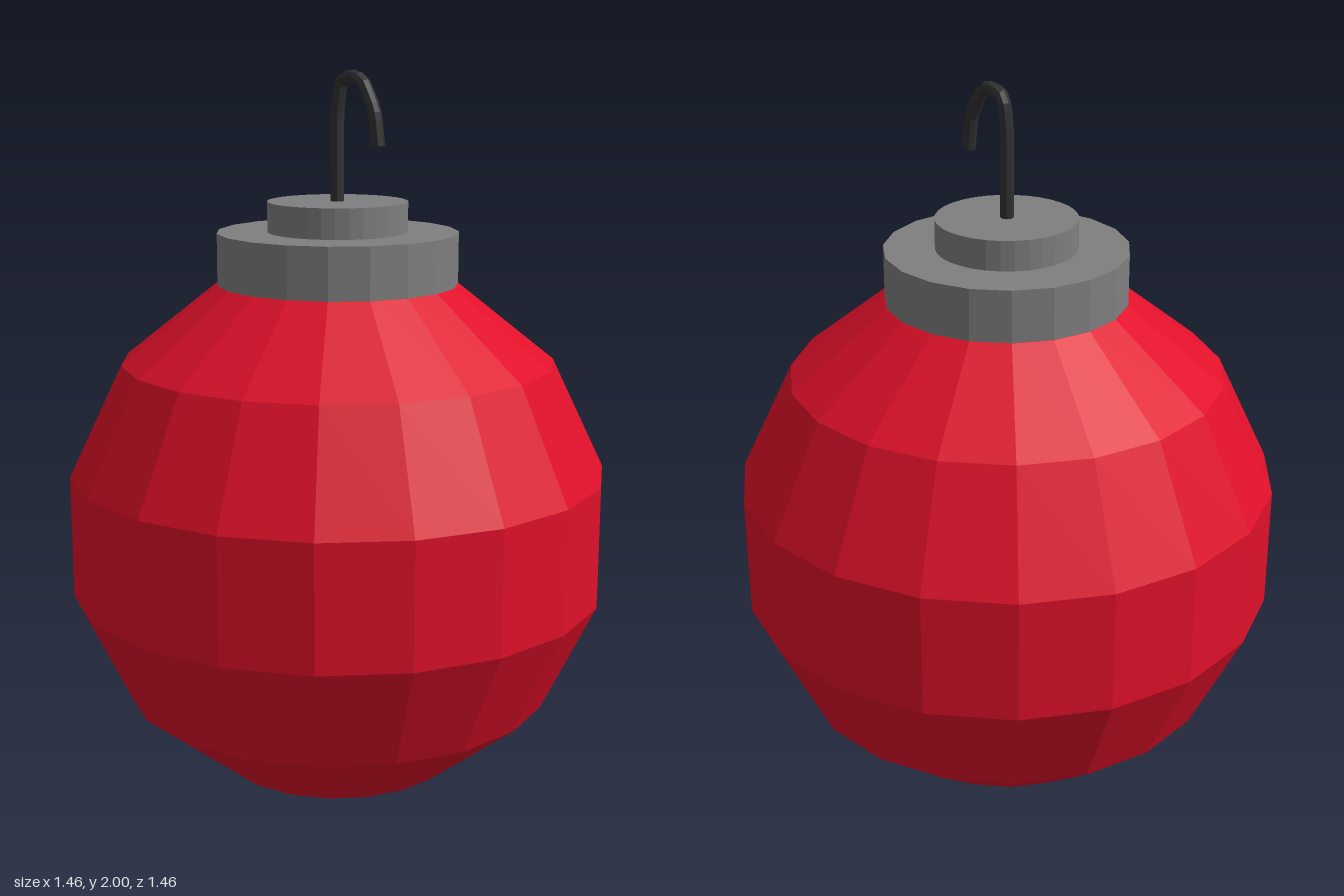
import * as THREE from 'three';

const SIDES = 19;
const Z = 0.004; // axis offset that centres the odd-sided ball

function part(name, geometry, color, parent) {
  const material = new THREE.MeshStandardMaterial({ color, flatShading: true });
  const mesh = new THREE.Mesh(geometry, material);
  mesh.name = name;
  parent.add(mesh);
  return mesh;
}

export function createModel() {
  const model = new THREE.Group();
  model.name = 'hangingBauble';

  // Faceted ball with one corner pointing straight back
  const ball = new THREE.SphereGeometry(0.753, SIDES, 7, -Math.PI / 2);
  part('ball', ball, 0xe0102a, model).position.set(0, 0.755, Z);

  // Wide collar sitting on the ball's top ring
  const collar = new THREE.CylinderGeometry(0.326, 0.326, 0.14, SIDES, 1, false, Math.PI);
  part('collar', collar, 0x7f7f7f, model).position.set(0, 1.503, Z);

  // Small round cap on the collar
  const cap = new THREE.CylinderGeometry(0.189, 0.189, 0.1, 32);
  part('cap', cap, 0x7f7f7f, model).position.set(0, 1.604, Z);

  // Wire hook: straight stem, then bent over to the front
  const hook = new THREE.Group();
  hook.name = 'hook';
  model.add(hook);
  const path = new THREE.CatmullRomCurve3([
    [1.63, 0.003], [1.76, 0.003], [1.89, 0.004], [1.966, 0.018], [1.982, 0.06],
    [1.97, 0.1], [1.895, 0.144], [1.805, 0.158],
  ].map(([y, z]) => new THREE.Vector3(0, y, z)), false, 'catmullrom', 0.25);
  const wire = 0.018;
  part('hookWire', new THREE.TubeGeometry(path, 28, wire, 8), 0x303030, hook);

  // Closed end of the wire
  const tip = part('hookTip', new THREE.CircleGeometry(wire, 8), 0x303030, hook);
  tip.position.copy(path.getPointAt(1));
  tip.quaternion.setFromUnitVectors(new THREE.Vector3(0, 0, 1), path.getTangentAt(1));

  return model;
}
